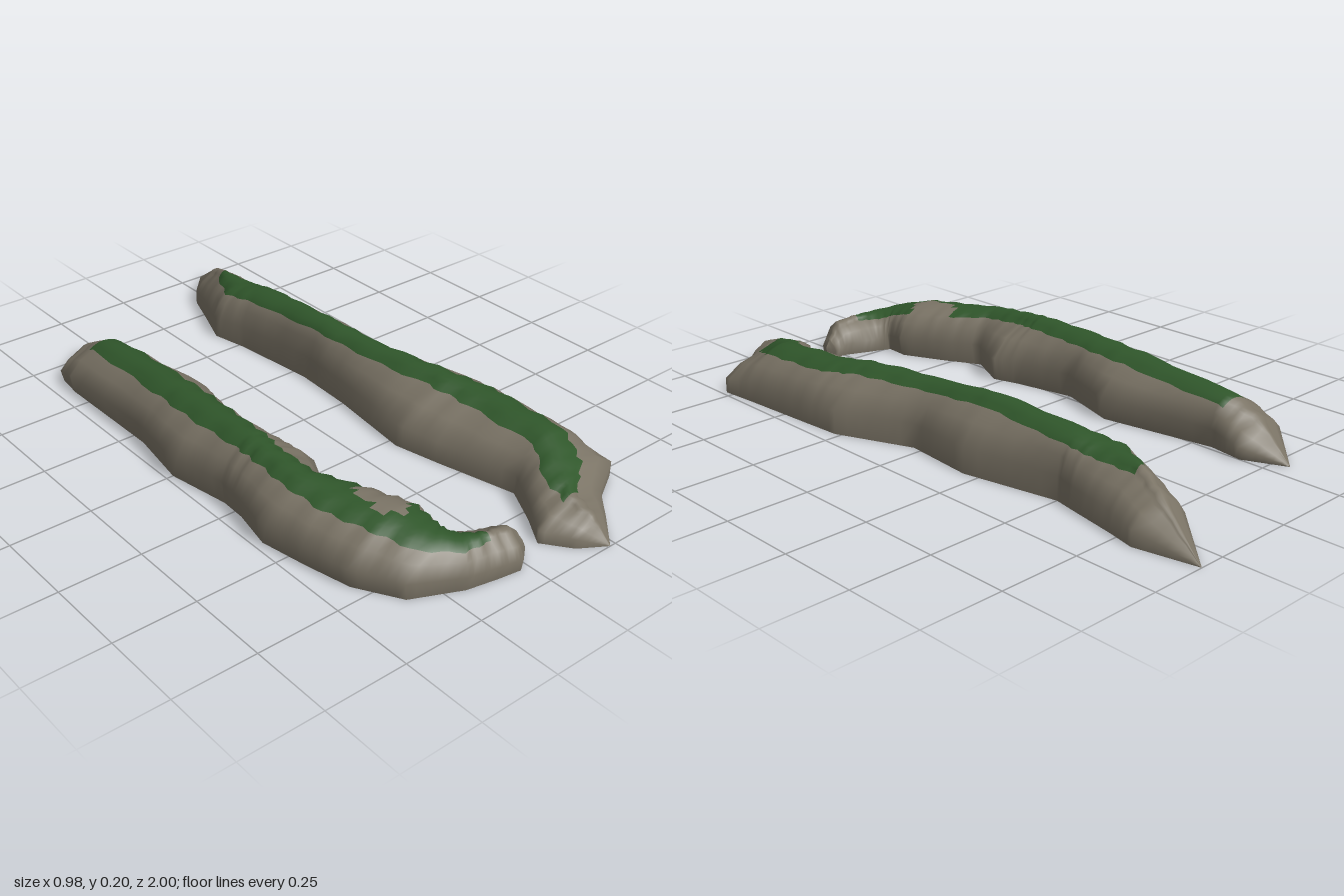
import * as THREE from 'three';

const stone = new THREE.MeshStandardMaterial({ color: 0x7b7466 });
stone.name = 'stone';
const moss = new THREE.MeshStandardMaterial({ color: 0x30572b });
moss.name = 'moss';

const STEPS = 6;        // subdivisions between stations
const MOSS_COLS = 6;    // strips across the mossy crest

// Station: [ax, az, bx, bz, height, mossStart, mossEnd]
// a = right flank, b = left flank, moss limits as fractions from a to b.
const rightRidge = [
  [-0.31, -0.80, -0.31, -0.80, 0.00, 0.40, 0.60],
  [-0.45, -0.66, -0.24, -0.67, 0.10, 0.35, 0.65],
  [-0.46, -0.58, -0.255, -0.56, 0.15, 0.38, 0.88],
  [-0.46, -0.20, -0.19, -0.20, 0.18, 0.22, 0.66],
  [-0.49, 0.00, -0.255, 0.00, 0.19, 0.34, 0.85],
  [-0.455, 0.20, -0.215, 0.20, 0.195, 0.22, 0.65],
  [-0.46, 0.28, -0.19, 0.28, 0.19, 0.22, 0.56],
  [-0.485, 0.41, -0.255, 0.41, 0.18, 0.35, 0.80],
  [-0.46, 0.56, -0.19, 0.53, 0.167, 0.26, 0.85],
  [-0.43, 0.70, -0.13, 0.66, 0.16, 0.28, 0.85],
  [-0.35, 0.83, -0.14, 0.735, 0.135, 0.28, 0.88],
  [-0.20, 0.90, -0.12, 0.745, 0.115, 0.20, 0.72],
  [-0.10, 0.92, -0.08, 0.76, 0.11, 0.30, 0.55],
  [-0.03, 0.93, -0.01, 0.79, 0.10, 0.30, 0.70],
  [0.03, 0.88, 0.03, 0.80, 0.055, 0.35, 0.65],
  [0.045, 0.84, 0.045, 0.84, 0.03, 0.40, 0.60],
];
const leftRidge = [
  [0.33, -1.00, 0.33, -1.00, 0.00, 0.40, 0.60],
  [0.20, -0.84, 0.37, -0.81, 0.115, 0.30, 0.60],
  [0.16, -0.73, 0.35, -0.72, 0.155, 0.28, 0.55],
  [0.11, -0.60, 0.325, -0.58, 0.165, 0.20, 0.78],
  [0.135, -0.48, 0.31, -0.50, 0.18, 0.20, 0.85],
  [0.165, -0.20, 0.37, -0.20, 0.198, 0.10, 0.56],
  [0.155, 0.00, 0.35, 0.03, 0.187, 0.27, 0.75],
  [0.12, 0.28, 0.45, 0.27, 0.185, 0.38, 0.70],
  [0.15, 0.42, 0.46, 0.42, 0.17, 0.38, 0.80],
  [0.21, 0.67, 0.475, 0.66, 0.158, 0.25, 0.72],
  [0.15, 0.78, 0.485, 0.78, 0.12, 0.15, 0.60],
  [0.09, 0.87, 0.36, 0.85, 0.097, 0.38, 0.58],
  [0.15, 0.95, 0.29, 0.93, 0.07, 0.35, 0.65],
  [0.23, 1.00, 0.23, 1.00, 0.00, 0.40, 0.60],
];

// Cross-section as [fraction across, fraction of height]
function section(m0, m1, inset) {
  const pts = [[inset, 0], [0, 0.4], [0.45 * m0, 0.7]];
  for (let k = 0; k <= MOSS_COLS; k++) {
    const t = k / MOSS_COLS;
    pts.push([m0 + (m1 - m0) * t, 1 - 0.14 * (2 * t - 1) ** 2]);
  }
  pts.push([1 - 0.45 * (1 - m1), 0.7], [1, 0.4], [1 - inset, 0]);
  return pts;
}

// Lofted ridge; moss covers the crest between two stations, except a bare patch
function makeRidge(name, stations, { from, to, inset, bare }) {
  const positions = [], stoneFaces = [], mossFaces = [];
  const rows = (stations.length - 1) * STEPS + 1;
  const cols = MOSS_COLS + 7;

  for (let r = 0; r < rows; r++) {
    const i = Math.min(Math.floor(r / STEPS), stations.length - 2);
    const t = r / STEPS - i;
    const [ax, az, bx, bz, h, m0, m1] =
      stations[i].map((v, k) => v + (stations[i + 1][k] - v) * t);
    // ragged moss edges
    const w0 = 0.025 * Math.sin(r * 1.7), w1 = 0.025 * Math.sin(r * 2.3 + 1);
    for (const [s, y] of section(m0 + w0, m1 + w1, inset)) {
      positions.push(ax + (bx - ax) * s, y * h, az + (bz - az) * s);
    }
  }

  for (let r = 0; r < rows - 1; r++) {
    for (let c = 0; c < cols - 1; c++) {
      const p = r * cols + c, q = p + cols;
      const x = (positions[p * 3] + positions[(q + 1) * 3]) / 2;
      const z = (positions[p * 3 + 2] + positions[(q + 1) * 3 + 2]) / 2;
      const isBare = bare && Math.hypot((x - bare.x) / bare.rx, (z - bare.z) / bare.rz) < 1;
      const isMoss = c >= 3 && c < 3 + MOSS_COLS &&
        r >= from * STEPS && r < to * STEPS && !isBare;
      (isMoss ? mossFaces : stoneFaces).push(p, q, q + 1, p, q + 1, p + 1);
    }
  }

  // flat underside with its own vertices, so the ground edge stays sharp
  const base = positions.length / 3;
  for (let r = 0; r < rows; r++) {
    for (const c of [0, cols - 1]) {
      const k = (r * cols + c) * 3;
      positions.push(positions[k], positions[k + 1], positions[k + 2]);
    }
    if (r < rows - 1) {
      const p = base + r * 2;
      stoneFaces.push(p, p + 1, p + 3, p, p + 3, p + 2);
    }
  }

  const geometry = new THREE.BufferGeometry();
  geometry.setAttribute('position', new THREE.Float32BufferAttribute(positions, 3));
  geometry.setIndex([...stoneFaces, ...mossFaces]);
  geometry.addGroup(0, stoneFaces.length, 0);
  geometry.addGroup(stoneFaces.length, mossFaces.length, 1);
  geometry.computeVertexNormals();
  const mesh = new THREE.Mesh(geometry, [stone, moss]);
  mesh.name = name;
  return mesh;
}

export function createModel() {
  const group = new THREE.Group();
  group.name = 'mossyRockRidges';
  group.add(
    makeRidge('rightRidge', rightRidge, {
      from: 1.8, to: 12, inset: 0.05, bare: { x: -0.24, z: 0.62, rx: 0.055, rz: 0.085 },
    }),
    makeRidge('leftRidge', leftRidge, { from: 2, to: 11, inset: 0 }),
  );
  return group;
}
